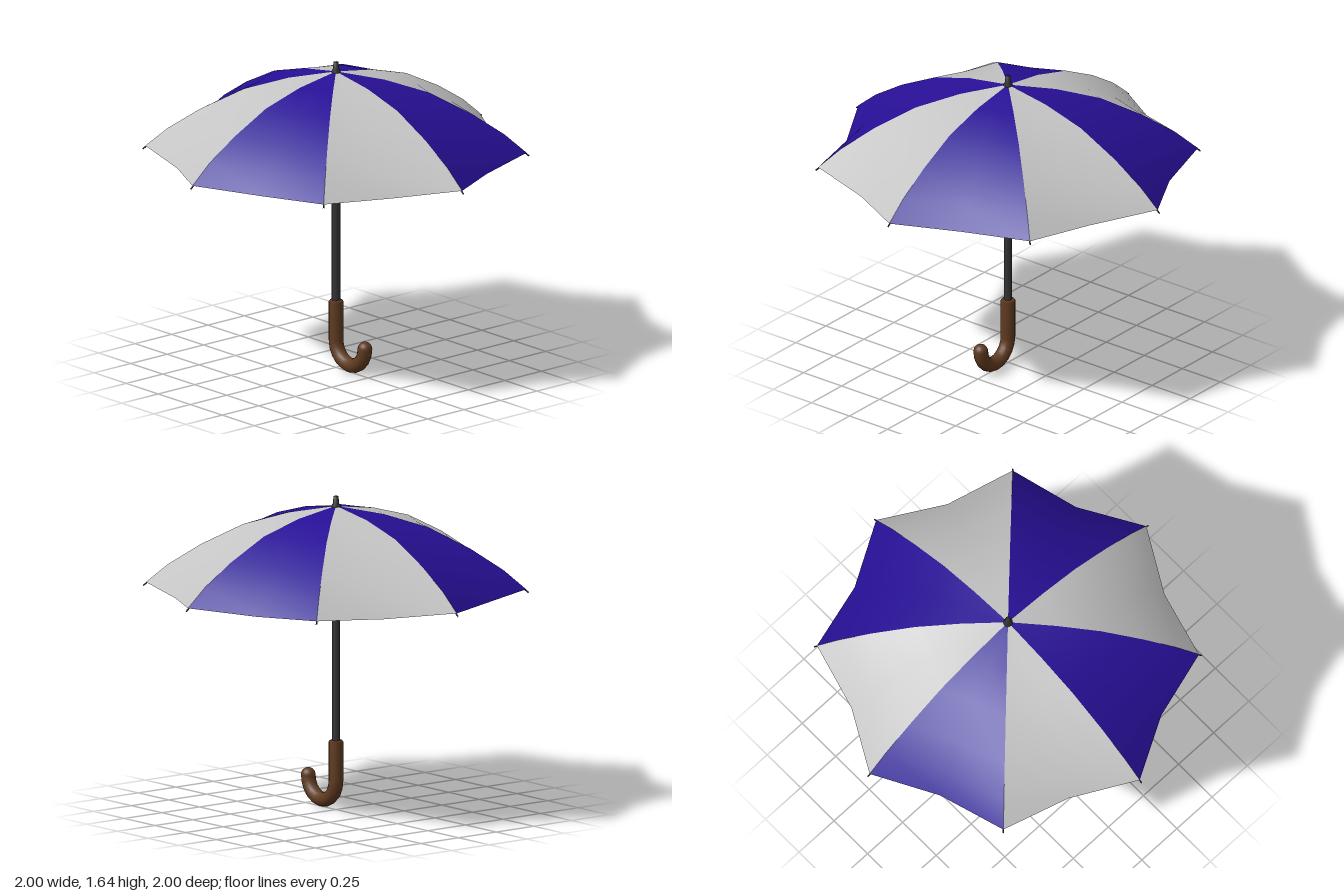
import * as THREE from 'three';

const mat = (name, color, side = THREE.FrontSide) => {
  const m = new THREE.MeshStandardMaterial({ color, side });
  m.name = name;
  return m;
};

// Rib profile as [radius, height], from hub to tip
const PROFILE = [[0.015, 1.592], [0.25, 1.555], [0.48, 1.49], [0.7, 1.38], [0.87, 1.272], [0.985, 1.175]];
const PANELS = 8;
const STEP = (Math.PI * 2) / PANELS;

// One cloth panel: two rib edges with a sagging middle line between them
function panelGeometry(start) {
  const pos = [], index = [];
  PROFILE.forEach(([r, y], i) => {
    const t = i / (PROFILE.length - 1);
    for (let j = 0; j < 3; j++) {
      const a = start + (STEP * j) / 2;
      const mid = j === 1;
      const rr = mid ? r * (0.925 - 0.047 * t) : r;
      pos.push(Math.sin(a) * rr, mid ? y - 0.018 * t * t : y, Math.cos(a) * rr);
      if (i > 0 && j > 0) {
        const d = i * 3 + j, c = d - 1, b = d - 3, e = d - 4;
        index.push(e, c, d, e, d, b);
      }
    }
  });
  const g = new THREE.BufferGeometry();
  g.setAttribute('position', new THREE.Float32BufferAttribute(pos, 3));
  g.setIndex(index);
  g.computeVertexNormals();
  return g;
}

export function createModel() {
  const model = new THREE.Group();
  model.name = 'umbrella';
  const blue = mat('blue cloth', 0x280f96, THREE.DoubleSide);
  const grey = mat('light grey cloth', 0xc4c4c4, THREE.DoubleSide);
  const metal = mat('dark metal', 0x333333);
  const wood = mat('brown wood', 0x5f3a20);

  const add = (name, geometry, material, parent = model) => {
    const mesh = new THREE.Mesh(geometry, material);
    mesh.name = name;
    parent.add(mesh);
    return mesh;
  };

  // Canopy panels in alternating colours
  const canopy = new THREE.Group();
  canopy.name = 'canopy';
  model.add(canopy);
  for (let k = 0; k < PANELS; k++) {
    add('canopyPanel', panelGeometry(k * STEP), k % 2 ? grey : blue, canopy);
  }

  // Thin ribs under the seams, with tips poking past the cloth
  const ribs = new THREE.Group();
  ribs.name = 'ribs';
  model.add(ribs);
  const ribPath = new THREE.CatmullRomCurve3([
    ...PROFILE.map(([r, y], i) => new THREE.Vector3(0, y - [0.035, 0.022, 0.018, 0.016, 0.013, 0.007][i], r)),
    new THREE.Vector3(0, 1.158, 0.998),
  ]);
  const ribGeometry = new THREE.TubeGeometry(ribPath, 18, 0.004, 6);
  for (let k = 0; k < PANELS; k++) add('rib', ribGeometry, metal, ribs).rotation.y = k * STEP;

  // Shaft and the ferrule on top
  const shaft = add('shaft', new THREE.CylinderGeometry(0.022, 0.022, 1.24, 16), metal);
  shaft.position.y = 0.96;
  const V = (x, y) => new THREE.Vector2(x, y);
  add('ferrule', new THREE.LatheGeometry(
    [V(0.024, 1.57), V(0.024, 1.596), V(0.016, 1.608), V(0.013, 1.645), V(0, 1.645)], 16), metal);

  // Hooked handle: straight grip, half-circle crook and rounded end
  const R = 0.113, T = 0.038, Y = 0.151;
  const handle = new THREE.Group();
  handle.name = 'handle';
  model.add(handle);
  add('grip', new THREE.LatheGeometry(
    [V(T, Y), V(T, 0.357), V(T - 0.007, 0.365), V(0, 0.365)], 16), wood, handle);
  const crook = add('crook', new THREE.TorusGeometry(R, T, 16, 10, Math.PI), wood, handle);
  crook.rotation.z = Math.PI;
  crook.position.set(R, Y, 0);
  add('handleEnd', new THREE.SphereGeometry(T, 16, 8, 0, Math.PI * 2, 0, Math.PI / 2), wood, handle)
    .position.set(R * 2, Y, 0);

  return model;
}
